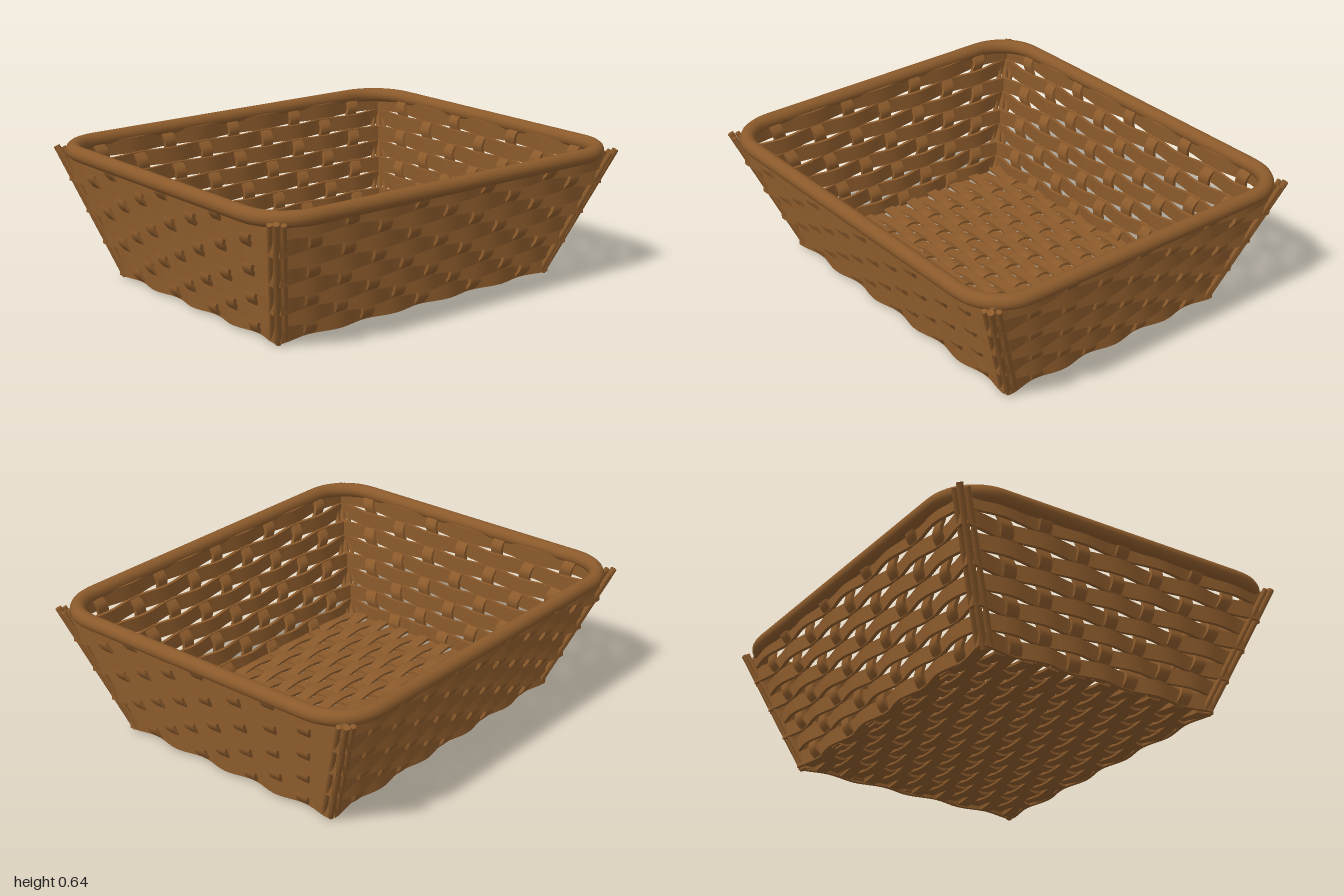
import * as THREE from 'three';

const wicker = new THREE.MeshStandardMaterial({ color: 0x8b5a2b });
wicker.name = 'wicker brown';

const V = (x, y, z) => new THREE.Vector3(x, y, z);

// Basket half-width (x) and half-depth (z) at height y
const halfX = (y) => 0.76 + 0.32 * y;
const halfZ = (y) => 0.57 + 0.41 * y;

const ROWS = 8, ROW_STEP = 0.073, ROW_START = 0.052;

// Flat strip with rectangular section swept along centre(t), t in 0..1
function ribbon(name, centre, w, d, steps) {
  const pos = [], idx = [];
  const along = centre(1).sub(centre(0));
  if (w.clone().cross(d).dot(along) < 0) d = d.clone().negate();
  const corner = (p, a, b) => p.clone().addScaledVector(w, a).addScaledVector(d, b);
  const loop = [[1, 1], [-1, 1], [-1, -1], [1, -1]];
  // four long faces, each with its own vertices so the edges stay sharp
  for (let f = 0; f < 4; f++) {
    const base = pos.length / 3;
    for (let i = 0; i <= steps; i++) {
      const p = centre(i / steps);
      pos.push(...corner(p, ...loop[f]), ...corner(p, ...loop[(f + 1) % 4]));
      if (i < steps) {
        const a = base + i * 2;
        idx.push(a, a + 1, a + 3, a, a + 3, a + 2);
      }
    }
  }
  // end caps
  for (const end of [0, 1]) {
    const base = pos.length / 3, p = centre(end);
    loop.forEach((c) => pos.push(...corner(p, ...c)));
    if (end) idx.push(base, base + 1, base + 2, base, base + 2, base + 3);
    else idx.push(base, base + 2, base + 1, base, base + 3, base + 2);
  }
  const g = new THREE.BufferGeometry();
  g.setAttribute('position', new THREE.Float32BufferAttribute(pos, 3));
  g.setIndex(idx);
  g.computeVertexNormals();
  const mesh = new THREE.Mesh(g, wicker);
  mesh.name = name;
  return mesh;
}

// One sloping woven wall, built facing +z
function wovenWall(name, half, depth, bays, sign) {
  const wall = new THREE.Group();
  wall.name = name;
  // upright-standing horizontal strips, stepped outwards row by row
  for (let r = 0; r < ROWS; r++) {
    const y = ROW_START + r * ROW_STEP, A = half(y), B = depth(y);
    const s = (r % 2 ? 1 : -1) * sign;
    wall.add(ribbon('wallStrip', (t) => {
      const u = (t * 2 - 1) * A;
      return V(u, y, B + 0.012 * s * Math.cos(Math.PI * u * bays / A));
    }, V(0, 0.037, 0), V(0, 0, 0.008), bays * 12));
  }
  // fanned stakes woven through the strips
  for (let k = 1 - bays; k < bays; k++) {
    wall.add(ribbon('wallStake', (t) => {
      const y = 0.02 + t * 0.58;
      const wave = sign * Math.cos(Math.PI * (k + (y - ROW_START) / ROW_STEP));
      return V(k * half(y) / bays, y, depth(y) + 0.015 * wave);
    }, V(0.03, 0, 0), V(0, 0, 0.008), 48));
  }
  return wall;
}

// Woven floor with narrow gaps between the strips
function wovenFloor() {
  const floor = new THREE.Group();
  floor.name = 'floor';
  const rowStep = 0.066, stakeStep = 0.15, y0 = 0.026;
  for (let r = 0; r < 18; r++) {
    const z = (r - 8.5) * rowStep, s = r % 2 ? 1 : -1;
    floor.add(ribbon('floorStrip', (t) => {
      const x = (t * 2 - 1) * 0.76;
      return V(x, y0 + 0.008 * s * Math.cos(Math.PI * x / stakeStep), z);
    }, V(0, 0, 0.028), V(0, 0.006, 0), 60));
  }
  for (let k = -4; k <= 4; k++) {
    floor.add(ribbon('floorStake', (t) => {
      const z = (t * 2 - 1) * 0.57;
      return V(k * stakeStep, y0 + 0.009 * Math.cos(Math.PI * (z / rowStep + 8.5 + k)), z);
    }, V(0.03, 0, 0), V(0, 0.006, 0), 104));
  }
  return floor;
}

// Straight round rod between two points
function rod(name, a, b, radius) {
  const g = new THREE.CylinderGeometry(radius, radius, a.distanceTo(b), 10);
  const m = new THREE.Mesh(g, wicker);
  m.name = name;
  m.position.copy(a).add(b).multiplyScalar(0.5);
  m.quaternion.setFromUnitVectors(V(0, 1, 0), b.clone().sub(a).normalize());
  return m;
}

// Rounded rectangular rim
function makeRim() {
  const X = 0.965, Z = 0.825, R = 0.2, y = 0.607;
  const pts = [];
  const corners = [[1, 1], [-1, 1], [-1, -1], [1, -1]];
  corners.forEach(([sx, sz], c) => {
    for (let i = 0; i <= 8; i++) {
      const a = (c + i / 8) * Math.PI / 2;
      pts.push(V(sx * (X - R) + R * Math.cos(a), y, sz * (Z - R) + R * Math.sin(a)));
    }
  });
  const path = new THREE.CurvePath();
  pts.forEach((p, i) => path.add(new THREE.LineCurve3(p, pts[(i + 1) % pts.length])));
  const curve = new THREE.CatmullRomCurve3(path.getSpacedPoints(160).slice(0, -1), true);
  const rim = new THREE.Mesh(new THREE.TubeGeometry(curve, 240, 0.035, 14, true), wicker);
  rim.name = 'rim';
  return rim;
}

export function createModel() {
  const basket = new THREE.Group();
  basket.name = 'basket';

  // four walls, turned a quarter each
  ['frontWall', 'leftWall', 'backWall', 'rightWall'].forEach((name, i) => {
    const wall = i % 2 ? wovenWall(name, halfZ, halfX, 4, -1) : wovenWall(name, halfX, halfZ, 5, 1);
    wall.rotation.y = i * Math.PI / 2;
    basket.add(wall);
  });

  basket.add(wovenFloor());

  // corner posts: a main rod with a thinner one on each wall end
  for (const sx of [1, -1]) for (const sz of [1, -1]) {
    const at = (y, dx, dz) => V(sx * (halfX(y) + dx), y, sz * (halfZ(y) + dz));
    const corner = new THREE.Group();
    corner.name = 'cornerPost';
    corner.add(
      rod('mainRod', at(0.008, 0.008, 0.008), at(0.61, 0.008, 0.008), 0.015),
      rod('sideRod', at(0.02, -0.025, 0.015), at(0.6, -0.025, 0.015), 0.012),
      rod('sideRod', at(0.02, 0.015, -0.025), at(0.6, 0.015, -0.025), 0.012),
    );
    basket.add(corner);
  }

  basket.add(makeRim());
  return basket;
}
